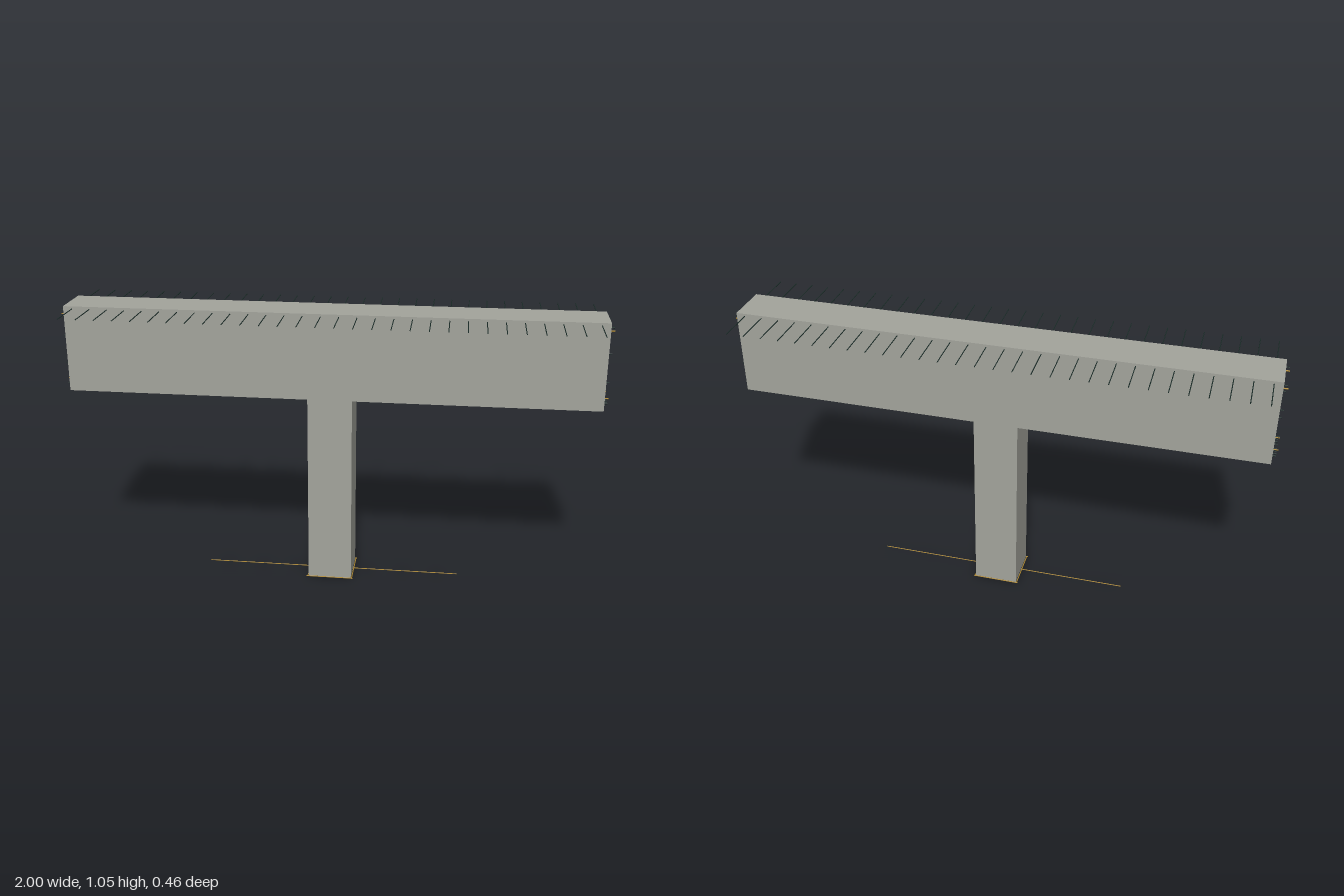
import * as THREE from 'three';

const concrete = new THREE.MeshStandardMaterial({ color: 0xa3a49c });
const steel = new THREE.MeshStandardMaterial({ color: 0x1c2e2a });
const rust = new THREE.MeshStandardMaterial({ color: 0xb08a30 });

export function createModel() {
  const model = new THREE.Group();

  // straight round bar along the x or z axis
  function bar(name, axis, length, radius, x, y, z, material) {
    const geometry = new THREE.CylinderGeometry(radius, radius, length, 8);
    if (axis === 'x') geometry.rotateZ(Math.PI / 2);
    else geometry.rotateX(Math.PI / 2);
    const mesh = new THREE.Mesh(geometry, material);
    mesh.name = name;
    mesh.position.set(x, y, z);
    model.add(mesh);
  }

  // T-shaped concrete body: column and crossbeam in one piece
  const beamHalf = 0.982, half = 0.0825, bottom = 0.002, under = 0.727, top = 1.05;
  const profile = new THREE.Shape([
    [-half, bottom], [half, bottom], [half, under], [beamHalf, under],
    [beamHalf, top], [-beamHalf, top], [-beamHalf, under], [-half, under],
  ].map(([x, y]) => new THREE.Vector2(x, y)));
  const bodyGeometry = new THREE.ExtrudeGeometry(profile, { depth: 2 * half, bevelEnabled: false });
  bodyGeometry.translate(0, 0, -half);
  const body = new THREE.Mesh(bodyGeometry, concrete);
  body.name = 'concreteBody';
  model.add(body);

  // row of cross bars sticking out of both sides near the top
  const count = 30;
  for (let i = 0; i < count; i++) {
    bar('crossBar', 'z', 0.458, 0.0017, -0.95 + (1.9 * i) / (count - 1), 1.04, 0, steel);
  }

  // lengthwise bars whose tips show at both beam ends
  for (const side of [-1, 1]) {
    bar('topBar', 'x', 1.995, 0.0025, 0, 1.017, side * 0.062, rust);
    for (const y of [1.03, 0.935, 0.83]) {
      bar('sideBar', 'x', 1.99, 0.002, 0, y, side * 0.064, steel);
    }
    for (const z of [0.015, 0.032, 0.048, 0.062]) {
      bar('bottomBar', 'x', 1.99, 0.002, 0, 0.75, side * z, steel);
    }
    bar('bottomBar', 'x', 2, 0.002, 0, 0.762, side * 0.04, rust);
  }

  // hoop around the column foot
  for (const side of [-1, 1]) {
    bar('footHoop', 'x', 0.18, 0.002, 0, 0.002, side * 0.0855, rust);
    bar('footHoop', 'z', 0.173, 0.002, side * 0.0855, 0.002, 0, rust);
  }

  // long bar passing through the foot
  bar('footBar', 'x', 0.98, 0.0017, 0, 0.0025, 0, rust);

  return model;
}
